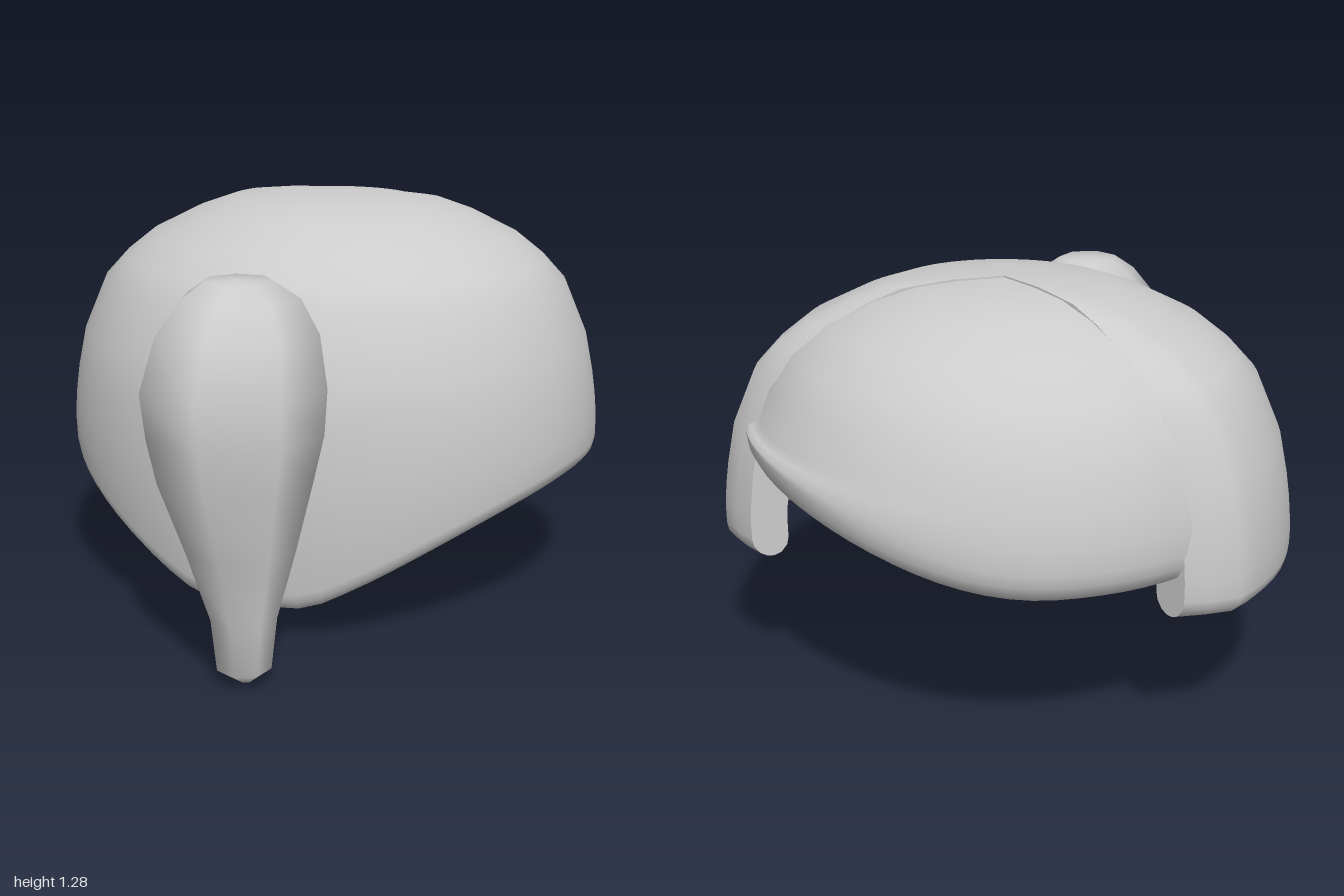
import * as THREE from 'three';

const { smoothstep, clamp } = THREE.MathUtils;
const material = new THREE.MeshStandardMaterial({ color: 0xcccccc, roughness: 0.8 });
const deg = Math.PI / 180;

// Skin a list of cross-sections (each a list of [x, y, z]) with smooth normals
function loft(sections, closed, ends) {
  const n = sections[0].length, rows = sections.length;
  const pos = sections.flat(2), index = [];
  for (let j = 0; j < (closed ? rows : rows - 1); j++) {
    const a = j * n, b = ((j + 1) % rows) * n;
    for (let i = 0; i < n - 1; i++) {
      index.push(a + i, b + i, a + i + 1, b + i, b + i + 1, a + i + 1);
    }
  }
  if (ends) {
    // flat walls across the shell thickness, with their own vertices
    [0, rows - 1].forEach((j) => {
      const s = pos.length / 3;
      pos.push(...sections[j].flat());
      for (let i = 0; i < n / 2 - 1; i++) {
        const o = s + i, o2 = o + 1, p = s + n - 1 - i, p2 = p - 1;
        if (j === 0) index.push(o, o2, p, o2, p2, p);
        else index.push(o, p, o2, o2, p, p2);
      }
    });
  }
  const g = new THREE.BufferGeometry();
  g.setAttribute('position', new THREE.Float32BufferAttribute(pos, 3));
  g.setIndex(index);
  g.computeVertexNormals();
  return g;
}

function part(name, geometry) {
  const mesh = new THREE.Mesh(geometry, material);
  mesh.name = name;
  return mesh;
}

// Thick dome sector: profile [radius, y] from the pole down, rolled lower rim,
// drawn inward by `taper` towards its rear edges
function domeSector({ from, to, steps, a, b, taper, roll, profile, rim }) {
  const [baseR, baseY] = profile[profile.length - 1];
  const thick = 0.14, sections = [];
  for (let j = 0; j <= steps; j++) {
    const phi = (from + (to - from) * j / steps) * deg;
    const c = Math.cos(phi), s = Math.sin(phi);
    const low = rim(c, s), end = low + roll;
    // the rim leans inward where it hangs low
    const lean = 0.12 * Math.max(0, 0.44 - low);
    const outer = [...profile];
    [[0.35, 0.6, 0], [0.7, 1, 0.3], [1, 1, 1]].forEach(([t, k, l]) =>
      outer.push([baseR + (1 - baseR) * k - lean * l, baseY + (end - baseY) * t]));
    const inner = outer.map(([r, y]) =>
      [r * (1 - thick), y > 0.6 ? Math.max(0.6 + (y - 0.6) * 0.85, Math.min(end, y)) : y]).reverse();
    const middle = (1 - lean) * (1 - thick / 2);
    const lip = [25, 55, 80, 100, 125, 155].map((d) => [
      middle + Math.cos(d * deg) * thick / 2, end - Math.sin(d * deg) * roll]);
    const k = 1 - taper * smoothstep(-s, 0.36, 0.55);
    sections.push([...outer, ...lip, ...inner]
      .map(([r, y]) => [a * c * r * k, y, -0.25 + b * s * r * k]));
  }
  return loft(sections, false, true);
}

export function createModel() {
  const group = new THREE.Group();

  // Front shell: wraps the front and sides, rim dips at the front
  group.add(part('frontShell', domeSector({
    from: -32, to: 212, steps: 48, a: 0.885, b: 0.83, taper: 0.095, roll: 0.06,
    profile: [[0, 1.285], [0.2, 1.28], [0.39, 1.26], [0.52, 1.22], [0.69, 1.145],
      [0.79, 1.075], [0.868, 1], [0.95, 0.83], [0.98, 0.7]],
    rim: (c, s) => {
      const x = s < 0 ? 1 : Math.abs(0.84 * c);
      return 0.1 + 0.335 * (0.4 * smoothstep(x, 0.1, 0.85) + 0.6 * clamp((x - 0.18) / 0.64, 0, 1));
    },
  })));

  // Rear cap: continues the shell backwards, rim higher on the left side
  group.add(part('rearCap', domeSector({
    from: 210, to: 330, steps: 24, a: 0.8, b: 0.75, taper: 0, roll: 0.09,
    profile: [[0, 1.28], [0.18, 1.275], [0.333, 1.262], [0.5, 1.225], [0.68, 1.155],
      [0.81, 1.07], [0.9, 0.97], [0.95, 0.87]],
    rim: (c) => 0.55 + 0.2 * smoothstep(0.8 * c, -0.4, 0.7),
  })));

  // Hanging front piece: seven-sided drop, [y, centre x, centre z, radius]
  const levels = [[1.145, 0.03, 0.67, 0], [1.14, 0.03, 0.67, 0.1], [1.09, 0.03, 0.665, 0.175],
    [1, 0.04, 0.715, 0.235], [0.85, 0.035, 0.735, 0.268], [0.72, 0.045, 0.75, 0.255],
    [0.6, 0.055, 0.775, 0.225], [0.4, 0.08, 0.8, 0.16], [0.2, 0.095, 0.82, 0.097],
    [0.045, 0.095, 0.82, 0.08], [0.005, 0.1, 0.82, 0.02], [0, 0.1, 0.82, 0]];
  const drop = [];
  for (let k = 0; k < 7; k++) {
    const phi = (90 + k * 360 / 7) * deg;
    drop.push(levels.map(([y, x, z, r]) => [x + r * Math.cos(phi), y, z + r * Math.sin(phi)]));
  }
  group.add(part('hangingDrop', loft(drop, true, false)));

  // Root of the hanging piece, poking through to the inside of the shell
  const root = part('dropRoot', new THREE.ConeGeometry(0.23, 0.21, 5));
  root.rotation.x = -Math.PI / 2;
  root.position.set(0.04, 0.7, 0.4);
  group.add(root);

  return group;
}
